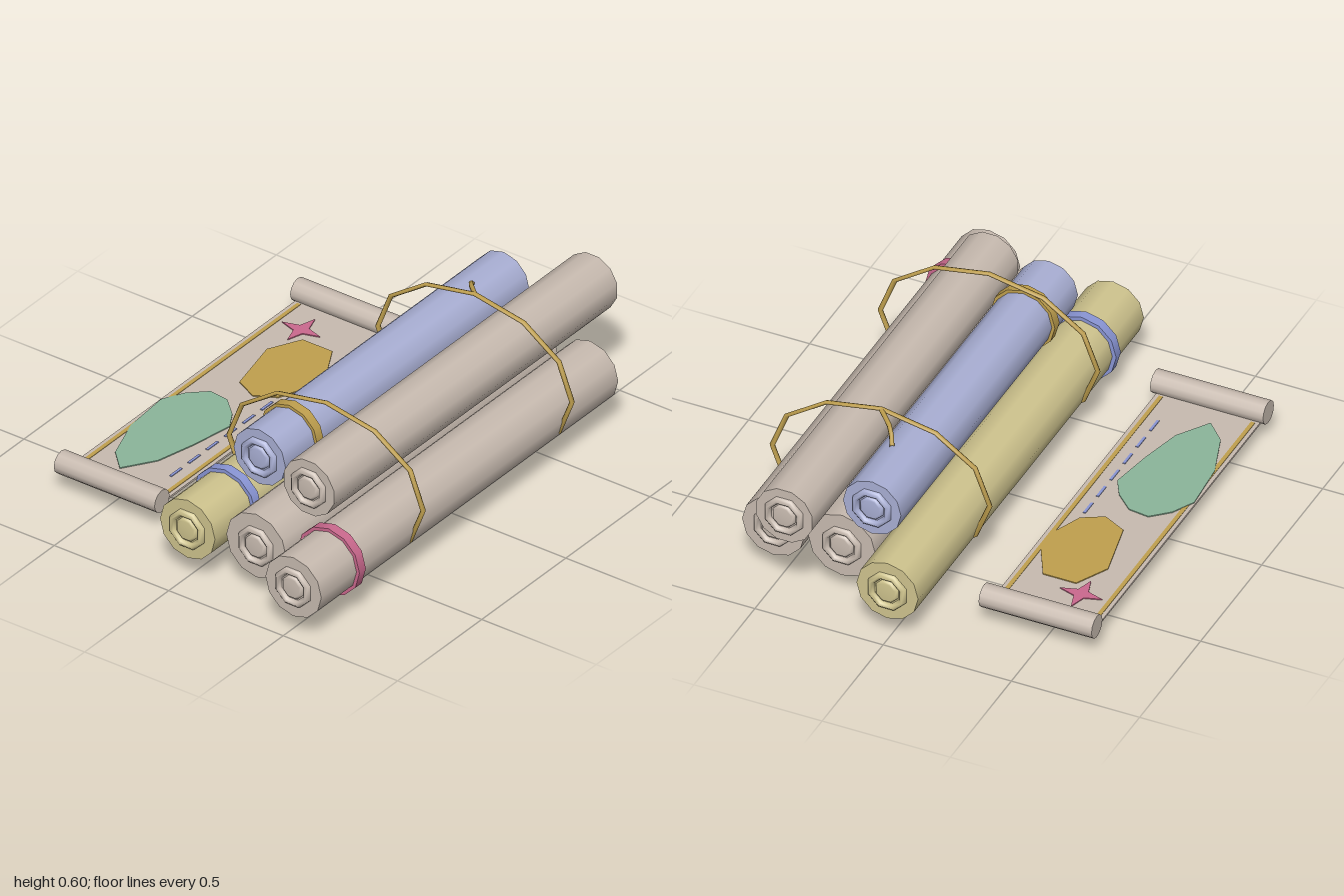
import * as THREE from 'three';

const mat = (name, color, extra = {}) => {
  const m = new THREE.MeshStandardMaterial({ color, ...extra });
  m.name = name;
  return m;
};

export function createModel() {
  const paper = mat('paper', 0xc8bbb0);
  const straw = mat('straw paper', 0xcfc48e);
  const lilac = mat('lilac paper', 0xa9afd4);
  const gold = mat('gold', 0xc0a04e);
  const green = mat('green ink', 0x8bb59a);
  const pink = mat('pink', 0xcb698e);
  const blue = mat('blue', 0x8a96d6);

  const model = new THREE.Group();
  model.name = 'scrollBundle';
  const add = (parent, name, geo, material, x = 0, y = 0, z = 0) => {
    const m = new THREE.Mesh(geo, material);
    m.name = name;
    m.position.set(x, y, z);
    parent.add(m);
    return m;
  };

  // Coiled end of a roll: raised outer ring with a smaller core
  const V = (r, h) => new THREE.Vector2(r, h);
  const ringProfile = [V(0.08, 0), V(0.077, 0.01), V(0.067, 0.018), V(0.057, 0.012), V(0.053, 0)];
  const coreProfile = [V(0.048, 0), V(0.044, 0.008), V(0.036, 0.012), V(0, 0.012)];

  // Rolled scrolls lying along x, each with an optional band
  const rolls = [
    { name: 'frontRoll', x0: -0.98, x1: 0.785, y: 0.21, z: 0.53, r: 0.122, m: paper, band: [-0.752, pink, 0.135] },
    { name: 'middleRoll', x0: -0.84, x1: 0.78, y: 0.21, z: 0.265, r: 0.131, m: paper },
    { name: 'backRoll', x0: -0.895, x1: 0.955, y: 0.21, z: 0.005, r: 0.12, m: straw, band: [-0.656, blue, 0.135] },
    { name: 'upperFrontRoll', x0: -0.705, x1: 0.98, y: 0.432, z: 0.395, r: 0.113, m: paper, turn: Math.PI / 12 },
    { name: 'upperBackRoll', x0: -0.645, x1: 0.805, y: 0.432, z: 0.136, r: 0.113, m: lilac, band: [-0.45, gold, 0.125] },
  ];
  for (const s of rolls) {
    const g = new THREE.Group();
    g.name = s.name;
    g.position.set(0, s.y, s.z);
    model.add(g);
    const turn = s.turn || 0;
    const body = new THREE.CylinderGeometry(s.r, s.r, s.x1 - s.x0, 12, 1, false, turn).rotateZ(-Math.PI / 2);
    add(g, 'rollBody', body, s.m, (s.x0 + s.x1) / 2);
    for (const side of [-1, 1]) {
      const x = side > 0 ? s.x1 : s.x0;
      // profiles run outside to inside, so reverse them for outward faces
      for (const [name, p] of [['coilRing', ringProfile], ['coilCore', coreProfile]]) {
        const coil = new THREE.LatheGeometry(p, 8, Math.PI / 8).rotateZ(-side * Math.PI / 2);
        add(g, name, coil, s.m, x);
      }
    }
    if (s.band) {
      const [x, m, r] = s.band;
      add(g, 'band', new THREE.CylinderGeometry(r, r, 0.038, 12).rotateZ(-Math.PI / 2), m, x);
    }
  }

  // Cords looped around the bundle
  for (const x of [-0.425, 0.46]) {
    const loop = new THREE.TorusGeometry(0.424, 0.01, 6, 12).scale(1, 0.687, 1).rotateY(Math.PI / 2);
    add(model, 'cordLoop', loop, gold, x, 0.303, 0.265);
  }
  const tail = new THREE.CatmullRomCurve3([
    new THREE.Vector3(0.46, 0.592, 0.265),
    new THREE.Vector3(0.53, 0.575, 0.195),
    new THREE.Vector3(0.58, 0.54, 0.165),
  ]);
  add(model, 'cordTail', new THREE.TubeGeometry(tail, 4, 0.009, 6), gold);

  // Open map: a sheet stretched between two rods
  const map = new THREE.Group();
  map.name = 'openMap';
  model.add(map);
  const sheetY = 0.09;
  add(map, 'sheet', new THREE.BoxGeometry(1.38, 0.008, 0.405), paper, 0.0175, sheetY, -0.4825);
  for (const x of [-0.686, 0.719]) {
    add(map, 'mapRod', new THREE.CylinderGeometry(0.045, 0.045, 0.44, 12).rotateX(Math.PI / 2), paper, x, 0.12, -0.48);
  }

  // Painted details on the map, as thin plates
  const plate = (name, pts, material, top) => {
    const shape = new THREE.Shape(pts.map(([x, z]) => new THREE.Vector2(x, -z)));
    const geo = new THREE.ExtrudeGeometry(shape, { depth: 0.004, bevelEnabled: false }).rotateX(-Math.PI / 2);
    add(map, name, geo, material, 0, sheetY + top - 0.004, 0);
  };
  const bar = (x0, x1, z, w) => [[x0, z - w / 2], [x1, z - w / 2], [x1, z + w / 2], [x0, z + w / 2]];
  for (const z of [-0.662, -0.303]) plate('borderStripe', bar(-0.64, 0.675, z, 0.016), gold, 0.006);
  plate('greenLand', [
    [-0.57, -0.53], [-0.495, -0.605], [-0.32, -0.665], [-0.12, -0.68], [-0.035, -0.635], [0.025, -0.57],
    [0.015, -0.49], [-0.05, -0.42], [-0.12, -0.38], [-0.29, -0.41], [-0.45, -0.45],
  ], green, 0.008);
  plate('goldLand', [
    [0.09, -0.435], [0.135, -0.525], [0.365, -0.575], [0.49, -0.51],
    [0.49, -0.38], [0.36, -0.31], [0.245, -0.31], [0.135, -0.355],
  ], gold, 0.008);
  for (let i = 0; i < 6; i++) {
    const x = -0.505 + i * 0.108;
    plate('routeDash', bar(x, x + 0.065, -0.356, 0.01), blue, 0.007);
  }
  const star = Array.from({ length: 8 }, (_, i) => {
    const r = i % 2 ? 0.028 : 0.083, a = (i * Math.PI) / 4;
    return [0.54 + r * Math.cos(a), -0.553 + r * Math.sin(a)];
  });
  plate('compassStar', star, pink, 0.009);

  // Coil surfaces are open, so show both sides
  for (const m of [paper, straw, lilac]) m.side = THREE.DoubleSide;
  return model;
}
